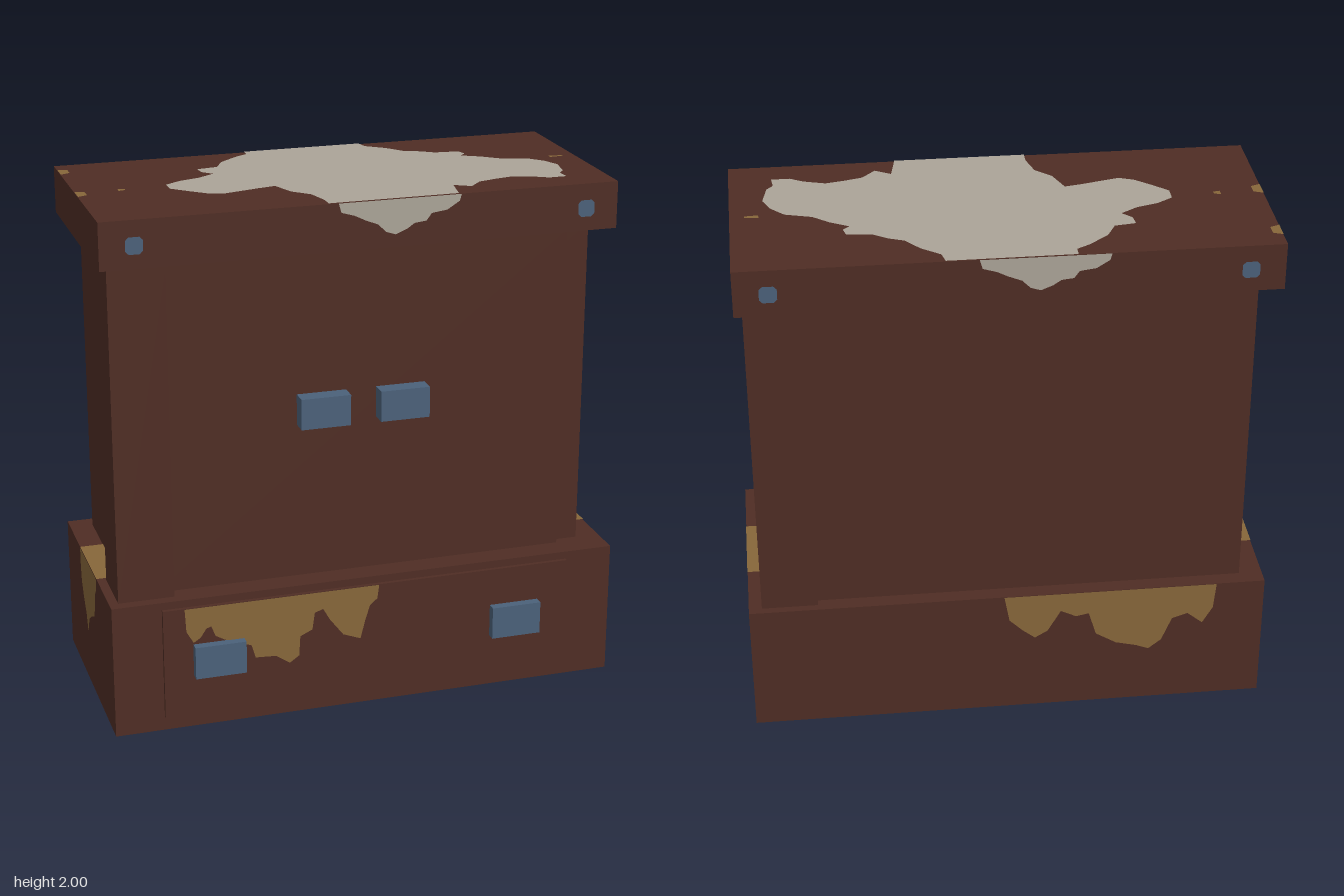
import * as THREE from 'three';

const mat = (name, color) => {
  const m = new THREE.MeshStandardMaterial({ color });
  m.name = name;
  return m;
};

export function createModel() {
  const wood = mat('dark brown wood', 0x4f2d24);
  const gold = mat('old gold stain', 0x87673a);
  const steel = mat('blue steel', 0x4b617a);
  const dust = mat('pale dust', 0xaba498);
  const model = new THREE.Group();
  model.name = 'cabinet';

  // Box given by its extents on each axis
  const box = (name, m, [x0, x1], [y0, y1], [z0, z1]) => {
    const mesh = new THREE.Mesh(new THREE.BoxGeometry(x1 - x0, y1 - y0, z1 - z0), m);
    mesh.position.set((x0 + x1) / 2, (y0 + y1) / 2, (z0 + z1) / 2);
    mesh.name = name;
    model.add(mesh);
  };

  // Flat painted patch from an outline, placed and turned onto a face
  const patch = (name, m, pts, pos, rot = [0, 0, 0]) => {
    const shape = new THREE.Shape(pts.map(([u, v]) => new THREE.Vector2(u, v)));
    const mesh = new THREE.Mesh(new THREE.ShapeGeometry(shape), m);
    mesh.position.set(...pos);
    mesh.rotation.set(...rot);
    mesh.name = name;
    model.add(mesh);
  };
  const flipU = pts => pts.map(([u, v]) => [-u, v]);
  const BACK = [0, Math.PI, 0], UP = [-Math.PI / 2, 0, 0];

  // Carcass: plinth, drawer, core, door, two offset corner posts, cap
  box('base', wood, [-1, 1], [0, 0.53], [-0.455, 0.415]);
  box('drawer', wood, [-0.81, 0.81], [0.06, 0.5], [0.4, 0.43]);
  box('body', wood, [-0.91, 0.905], [0.53, 1.82], [-0.395, 0.29]);
  box('door', wood, [-0.81, 0.81], [0.53, 1.815], [0.28, 0.32]);
  box('frontPost', wood, [-0.965, -0.75], [0.53, 1.82], [0.15, 0.373]);
  box('backPost', wood, [0.735, 0.95], [0.53, 1.82], [-0.425, -0.205]);
  box('cap', wood, [-0.99, 0.98], [1.82, 2], [-0.46, 0.38]);

  // Handles
  for (const x of [-0.158, 0.152])
    box('doorHandle', steel, [x - 0.096, x + 0.096], [1.145, 1.265], [0.32, 0.385]);
  for (const x of [-0.597, 0.592])
    box('drawerHandle', steel, [x - 0.099, x + 0.099], [0.22, 0.35], [0.43, 0.465]);

  // Studs at the cap corners, front and back
  const a = 0.032, b = 0.02;
  const stud = [[-a, -b], [-b, -a], [b, -a], [a, -b], [a, b], [b, a], [-b, a], [-a, b]];
  for (const x of [-0.863, 0.855]) {
    patch('frontStud', steel, stud, [x, 1.906, 0.383]);
    patch('backStud', steel, stud, [x, 1.906, -0.463], BACK);
  }

  // Dust on the cap top (x, -z)
  patch('topDust', dust, [
    [-0.24, 0.46], [0.23, 0.46], [0.24, 0.41], [0.31, 0.355], [0.36, 0.29], [0.42, 0.265], [0.47, 0.23],
    [0.565, 0.22], [0.575, 0.18], [0.55, 0.155], [0.62, 0.115], [0.68, 0.065], [0.78, 0.035], [0.83, -0.02],
    [0.857, -0.085], [0.84, -0.18], [0.815, -0.21], [0.82, -0.265], [0.75, -0.265], [0.7, -0.235], [0.62, -0.21],
    [0.55, -0.225], [0.48, -0.245], [0.43, -0.3], [0.37, -0.265], [0.36, -0.32], [0.35, -0.38], [-0.147, -0.38],
    [-0.147, -0.33], [-0.17, -0.24], [-0.23, -0.18], [-0.265, -0.085], [-0.335, -0.1], [-0.39, -0.115],
    [-0.475, -0.137], [-0.53, -0.115], [-0.585, -0.067], [-0.645, -0.01], [-0.645, 0.05], [-0.585, 0.09],
    [-0.505, 0.115], [-0.44, 0.158], [-0.475, 0.195], [-0.48, 0.243], [-0.4, 0.255], [-0.365, 0.325],
    [-0.29, 0.39], [-0.24, 0.42],
  ], [0, 2.003, 0], UP);

  // Dust running over the cap edge
  const drip = [
    [-0.11, 2], [-0.1, 1.965], [-0.05, 1.95], [-0.01, 1.93], [0.04, 1.91], [0.07, 1.88], [0.107, 1.868],
    [0.15, 1.885], [0.18, 1.905], [0.225, 1.91], [0.245, 1.937], [0.305, 1.945], [0.353, 1.975], [0.36, 2],
  ];
  patch('frontDust', dust, drip, [0, 0, 0.383]);
  patch('backDust', dust, drip, [0, 0, -0.463], BACK);

  // Small gold flecks on the cap top
  for (const [x, z, w, d] of [[-0.972, -0.35, 0.018, 0.038], [-0.972, -0.01, 0.018, 0.038],
    [-0.818, -0.027, 0.013, 0.014], [0.9, -0.04, 0.026, 0.01]])
    patch('fleck', gold, [[-w, -d], [w, -d * 0.6], [w, d * 0.6], [-w, d]], [x, 2.003, z], UP);

  // Gold stain on the drawer
  patch('drawerStain', gold, [
    [-0.727, 0.499], [-0.722, 0.406], [-0.695, 0.358], [-0.668, 0.375], [-0.645, 0.41], [-0.626, 0.417],
    [-0.61, 0.375], [-0.575, 0.355], [-0.47, 0.315], [-0.455, 0.262], [-0.374, 0.257], [-0.32, 0.22],
    [-0.283, 0.246], [-0.278, 0.326], [-0.23, 0.348], [-0.22, 0.417], [-0.187, 0.428], [-0.16, 0.38],
    [-0.107, 0.31], [-0.037, 0.283], [-0.02, 0.353], [0, 0.417], [0.03, 0.444], [0.037, 0.499],
  ], [0, 0, 0.433]);

  // Gold stain on the back of the base
  patch('backStain', gold, flipU([
    [0.02, 0.53], [0, 0.42], [-0.05, 0.37], [-0.1, 0.33], [-0.15, 0.36], [-0.2, 0.45], [-0.26, 0.42],
    [-0.31, 0.43], [-0.34, 0.33], [-0.42, 0.28], [-0.5, 0.26], [-0.55, 0.24], [-0.6, 0.28], [-0.64, 0.38],
    [-0.7, 0.4], [-0.76, 0.35], [-0.8, 0.42], [-0.81, 0.53],
  ]), [0, 0, -0.458], BACK);

  // Gold stains on both base sides (z, y) and the ledges above them
  const side = [
    [0.138, 0.53], [0.133, 0.485], [0.1, 0.45], [0.096, 0.4], [0.07, 0.345], [0.005, 0.314], [-0.043, 0.282],
    [-0.058, 0.225], [-0.074, 0.225], [-0.096, 0.282], [-0.138, 0.335], [-0.17, 0.39], [-0.181, 0.45], [-0.181, 0.53],
  ];
  patch('rightStain', gold, flipU(side), [1.0, 0, 0].map((v, i) => (i ? v : v + 0.002)), [0, Math.PI / 2, 0]);
  patch('leftStain', gold, side, [-1.002, 0, 0], [0, -Math.PI / 2, 0]);
  for (const s of [-1, 1])
    patch('ledgeStain', gold, [[-0.048, -0.138], [0.048, -0.138], [0.048, 0.181], [-0.048, 0.181]],
      [s * 0.953, 0.533, 0], UP);

  return model;
}
